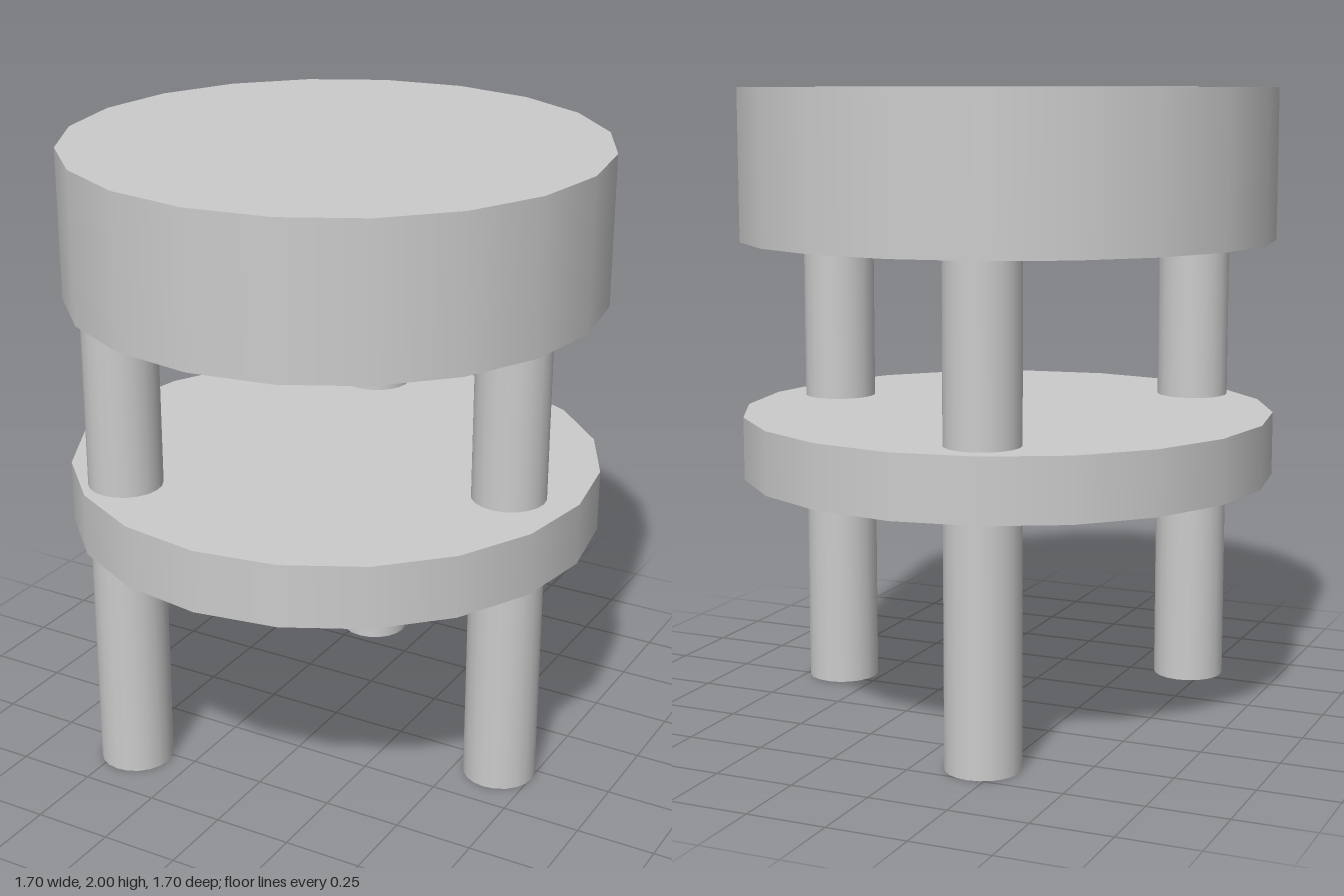
import * as THREE from 'three';

const SIDES = 20;

export function createModel() {
  const group = new THREE.Group();
  const material = new THREE.MeshStandardMaterial({ color: 0xcccccc });

  // Upright cylinder between two heights
  function addCylinder(name, radius, bottom, top, x = 0, z = 0) {
    const geometry = new THREE.CylinderGeometry(radius, radius, top - bottom, SIDES);
    const mesh = new THREE.Mesh(geometry, material);
    mesh.name = name;
    mesh.position.set(x, (bottom + top) / 2, z);
    group.add(mesh);
  }

  // Thick seat and the thinner shelf below it
  addCylinder('seat', 0.85, 1.525, 2);
  addCylinder('shelf', 0.85, 0.775, 0.975);

  // Three legs, unevenly spaced, running through the shelf to the seat
  const legs = [
    ['leftLeg', 0.638, 0.052],
    ['frontLeg', -0.445, 0.544],
    ['backLeg', -0.2, -0.642],
  ];
  for (const [name, x, z] of legs) addCylinder(name, 0.117, 0, 1.53, x, z);

  return group;
}
